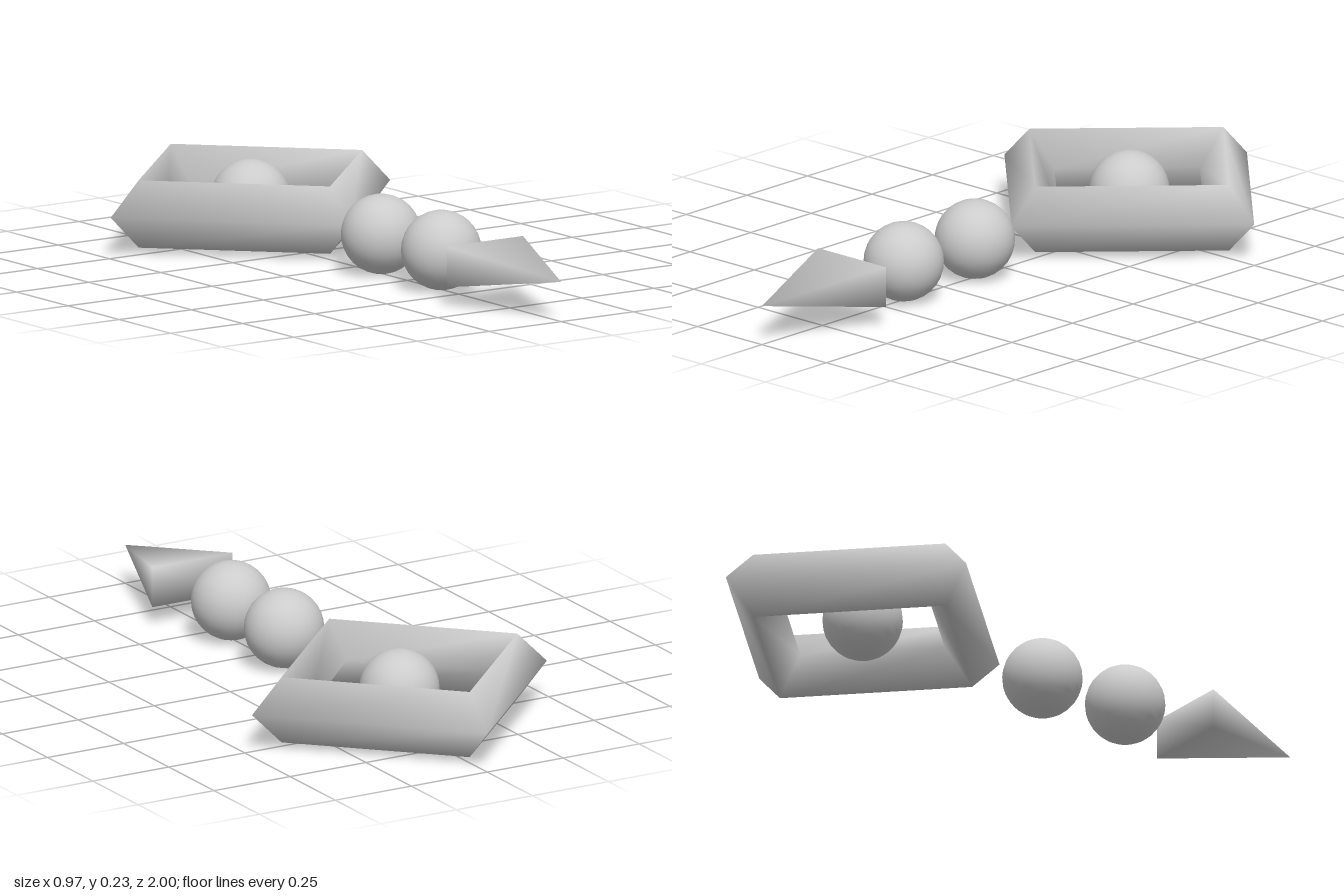
import * as THREE from 'three';
import { mergeVertices } from 'three/addons/utils/BufferGeometryUtils.js';

const MID = 0.114; // height of the common centre line
const material = new THREE.MeshStandardMaterial({ color: 0xcccccc });

// Share vertices so the shading runs smoothly over every edge
function smooth(geometry) {
  geometry.deleteAttribute('uv');
  geometry.deleteAttribute('normal');
  const merged = mergeVertices(geometry, 1e-4);
  merged.computeVertexNormals();
  return merged;
}

function add(group, name, geometry, z) {
  const mesh = new THREE.Mesh(geometry, material);
  mesh.name = name;
  mesh.position.set(0, MID, z);
  group.add(mesh);
}

// Four-sided spike pointing to +z, base centred on the origin
function spikeGeometry(halfWidth, halfHeight, length) {
  const geometry = new THREE.BufferGeometry();
  geometry.setAttribute('position', new THREE.Float32BufferAttribute([
    -halfWidth, -halfHeight, 0,
    halfWidth, -halfHeight, 0,
    halfWidth, halfHeight, 0,
    -halfWidth, halfHeight, 0,
    0, 0, length,
  ], 3));
  const index = [0, 2, 1, 0, 3, 2];
  for (let i = 0; i < 4; i++) index.push(i, (i + 1) % 4, 4);
  geometry.setIndex(index);
  geometry.computeVertexNormals();
  return geometry;
}

export function createModel() {
  const group = new THREE.Group();
  group.name = 'pendant';

  // Square ring lying flat, with a diamond cross-section
  const ring = new THREE.TorusGeometry(0.388, 0.097, 4, 4);
  ring.rotateX(-Math.PI / 2);
  add(group, 'diamondRing', smooth(ring), -0.515);

  // One bead in the ring and two in front of it
  const bead = new THREE.SphereGeometry(0.114, 32, 16);
  add(group, 'ringBead', bead, -0.515);
  add(group, 'middleBead', bead, 0.122);
  add(group, 'frontBead', bead, 0.415);

  // Flattened pyramid at the tip
  add(group, 'spike', spikeGeometry(0.132, 0.059, 0.372), 0.628);

  return group;
}
